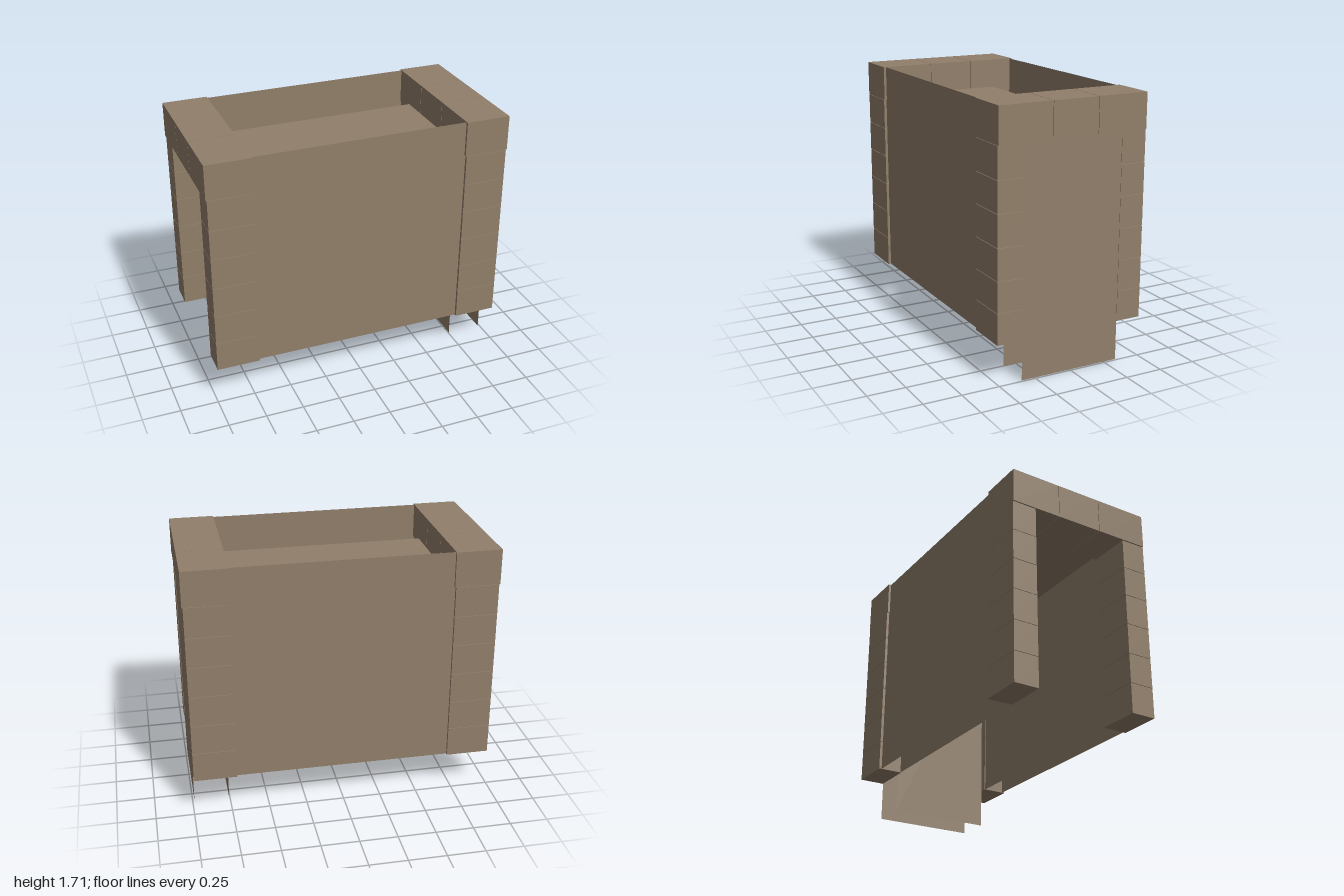
import * as THREE from 'three';

const stone = new THREE.MeshStandardMaterial({ color: 0x917f6a, side: THREE.DoubleSide });
stone.name = 'sandy stone';

const GAP = 0.003; // joint between neighbouring blocks

function add(group, name, geometry, x, y, z) {
  const mesh = new THREE.Mesh(geometry, stone);
  mesh.name = name;
  mesh.position.set(x, y, z);
  group.add(mesh);
  return mesh;
}

// Block given by its lower and upper corners
function block(group, name, [x0, y0, z0], [x1, y1, z1]) {
  const geometry = new THREE.BoxGeometry(x1 - x0, y1 - y0, z1 - z0);
  return add(group, name, geometry, (x0 + x1) / 2, (y0 + y1) / 2, (z0 + z1) / 2);
}

// Thin upright sheet across x, facing along z
function wall(group, name, halfWidth, y0, y1, z) {
  const sheet = add(group, name, new THREE.PlaneGeometry(halfWidth * 2, y1 - y0), 0, (y0 + y1) / 2, z);
  if (z < 0) sheet.rotation.y = Math.PI;
}

export function createModel() {
  const model = new THREE.Group();
  model.name = 'stoneGateway';

  // Four corner columns of six stacked blocks
  const courses = [0.26, 0.46, 0.66, 0.865, 1.07, 1.27, 1.474];
  for (const sx of [-1, 1]) {
    for (const sz of [-1, 1]) {
      const column = new THREE.Group();
      column.name = (sz > 0 ? 'front' : 'back') + (sx > 0 ? 'Left' : 'Right') + 'Column';
      for (let i = 0; i < 6; i++) {
        const x = sx * 0.85, z = sz * 0.424;
        block(column, 'columnBlock',
          [x - 0.141, courses[i] + (i ? GAP / 2 : 0), z - 0.084],
          [x + 0.141, courses[i + 1] - GAP / 2, z + 0.084]);
      }
      model.add(column);
    }

    // Lintel of three blocks across each end
    const lintel = new THREE.Group();
    lintel.name = sx > 0 ? 'leftLintel' : 'rightLintel';
    const cuts = [-0.508, -0.165, 0.147, 0.508];
    for (let i = 0; i < 3; i++) {
      block(lintel, 'lintelBlock',
        [sx * 0.85 - 0.148, 1.474, cuts[i] + GAP / 2],
        [sx * 0.85 + 0.148, 1.705, cuts[i + 1] - GAP / 2]);
    }
    model.add(lintel);
  }

  // Outer and inner wall sheets on both long sides
  for (const s of [-1, 1]) {
    const side = s > 0 ? 'front' : 'back';
    wall(model, side + 'OuterWall', 0.71, 0.26, 1.703, s * 0.49);
    wall(model, side + 'InnerWall', 0.71, 0.26, 1.505, s * 0.345);
  }

  // Sunken ceiling of the passage
  add(model, 'ceiling', new THREE.PlaneGeometry(1.42, 0.69), 0, 1.505, 0).rotation.x = -Math.PI / 2;

  // Gate: two hanging sheets closing the left end
  for (const [name, x, turn] of [['outerGateSheet', 0.988, 1], ['innerGateSheet', 0.755, -1]]) {
    add(model, name, new THREE.PlaneGeometry(0.68, 1.474), x, 0.737, 0).rotation.y = turn * Math.PI / 2;
  }

  return model;
}
